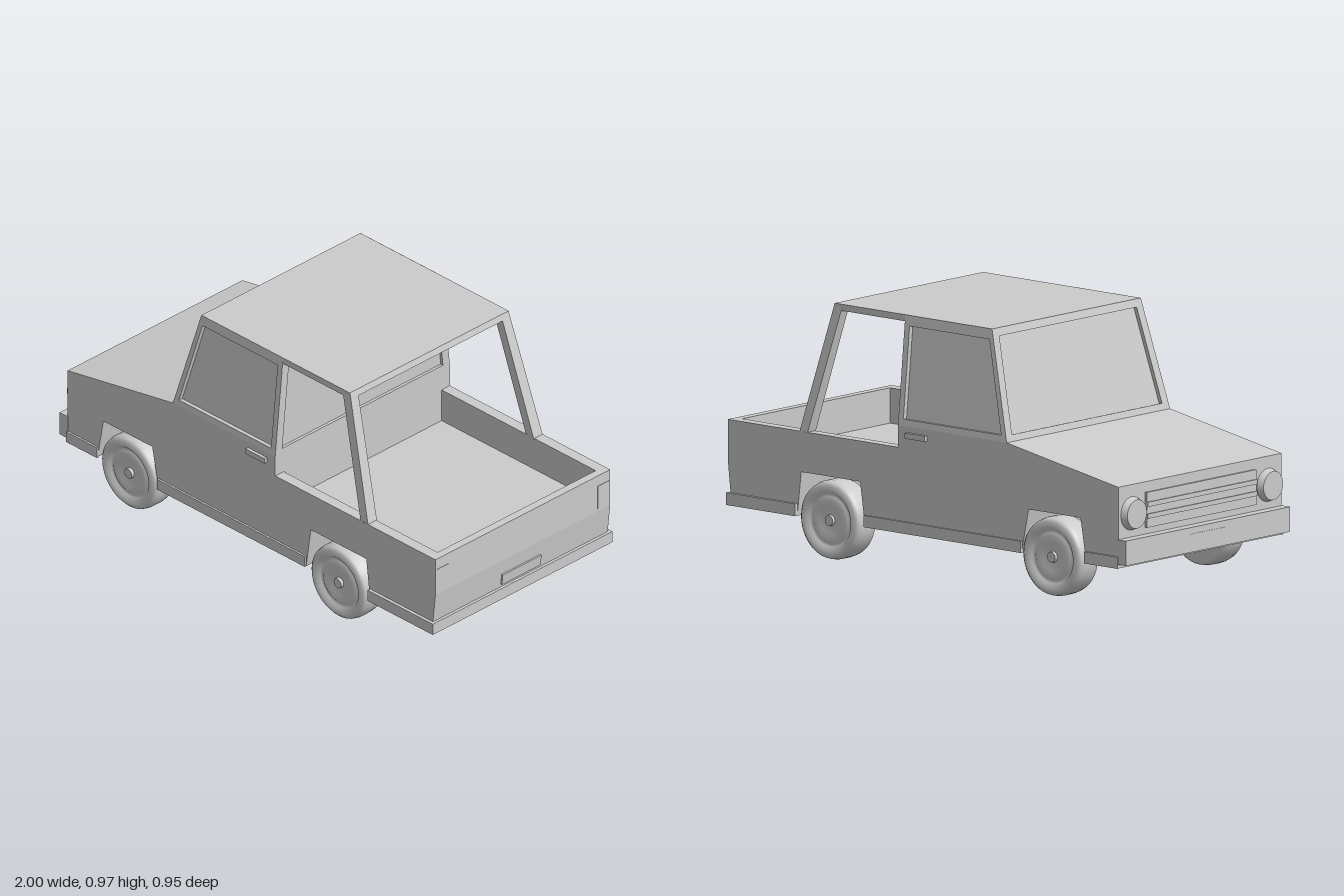
import * as THREE from 'three';

const mat = new THREE.MeshStandardMaterial({ color: 0xcccccc });
const flat = new THREE.MeshStandardMaterial({ color: 0xcccccc, flatShading: true, side: THREE.DoubleSide });

function add(parent, name, geometry, material = mat) {
  const mesh = new THREE.Mesh(geometry, material);
  mesh.name = name;
  parent.add(mesh);
  return mesh;
}

// Box given by its minimum and maximum on each axis
function box(parent, name, x0, x1, y0, y1, z0, z1) {
  const mesh = add(parent, name, new THREE.BoxGeometry(x1 - x0, y1 - y0, z1 - z0));
  mesh.position.set((x0 + x1) / 2, (y0 + y1) / 2, (z0 + z1) / 2);
  return mesh;
}

// Side profile extruded between two z values
function slab(parent, name, points, z0, z1) {
  const shape = new THREE.Shape(points.map(([x, y]) => new THREE.Vector2(x, y)));
  const geometry = new THREE.ExtrudeGeometry(shape, { depth: z1 - z0, bevelEnabled: false });
  geometry.translate(0, 0, z0);
  return add(parent, name, geometry);
}

function quads(list) {
  const pos = [];
  for (const [a, b, c, d] of list) for (const p of [a, b, c, a, c, d]) pos.push(...p);
  const geometry = new THREE.BufferGeometry();
  geometry.setAttribute('position', new THREE.Float32BufferAttribute(pos, 3));
  geometry.computeVertexNormals();
  return geometry;
}

// Framed window: outer and inner corners run counter-clockwise from outside
function windowPanel(parent, name, outer, inner, depth) {
  const v = inner.map((p) => new THREE.Vector3(...p));
  const normal = v[1].clone().sub(v[0]).cross(v[3].clone().sub(v[0])).normalize();
  const glass = v.map((p) => p.addScaledVector(normal, -depth).toArray());
  const frame = [];
  for (let i = 0; i < 4; i++) {
    const j = (i + 1) % 4;
    frame.push([outer[i], outer[j], inner[j], inner[i]], [inner[i], inner[j], glass[j], glass[i]]);
  }
  add(parent, name + 'Frame', quads(frame), flat);
  add(parent, name + 'Glass', quads([glass]), flat);
}

const W = 0.462;
const cabZ = (y) => W - Math.max(0, y - 0.56) * 0.1;

function addCab(car) {
  // Side windows
  const outer = [[-0.4, 0.56], [0.145, 0.56], [0.145, 0.975], [-0.29, 0.975]];
  const inner = [[-0.37, 0.585], [0.12, 0.585], [0.12, 0.935], [-0.28, 0.935]];
  for (const s of [1, -1]) {
    const place = (pts) => {
      const out = pts.map(([x, y]) => [x, y, s * cabZ(y)]);
      return s > 0 ? out : out.reverse();
    };
    windowPanel(car, s > 0 ? 'leftWindow' : 'rightWindow', place(outer), place(inner), 0.018);
  }
  // Windshield
  const slope = (y, inset) => [-0.4 + (y - 0.56) * 0.265, y, cabZ(y) - inset];
  const mirrored = (lo, hi) => [[lo[0], lo[1], -lo[2]], lo, hi, [hi[0], hi[1], -hi[2]]];
  windowPanel(car, 'windshield', mirrored(slope(0.56, 0), slope(0.975, 0)),
    mirrored(slope(0.585, 0.035), slope(0.945, 0.035)), 0.015);
  // Rear wall of the cab
  const back = (y, inset) => [0.145, y, cabZ(y) - inset];
  windowPanel(car, 'rearWindow', mirrored(back(0.56, 0), back(0.975, 0)).reverse(),
    mirrored(back(0.58, 0.035), back(0.93, 0.035)).reverse(), 0.012);

  // Roof reaching back to the rear pillars
  slab(car, 'roof', [[-0.297, 0.95], [0.507, 0.95], [0.5, 0.975], [-0.29, 0.975]], -0.42, 0.42);

  // Raked rear pillars
  for (const s of [1, -1]) {
    const ring = (x0, x1, y, z0, z1) => [[x0, y, s * z0], [x1, y, s * z0], [x1, y, s * z1], [x0, y, s * z1]];
    const a = ring(0.6, 0.64, 0.47, 0.415, W);
    const b = ring(0.462, 0.503, 0.965, 0.38, 0.42);
    const faces = a.map((p, i) => {
      const j = (i + 1) % 4;
      return s > 0 ? [p, b[i], b[j], a[j]] : [p, a[j], b[j], b[i]];
    });
    add(car, s > 0 ? 'leftRearPillar' : 'rightRearPillar', quads(faces), flat);
  }
}

function addWheels(car) {
  // Tyre and dished rim, turned about the axle
  const profile = [[0, -0.055], [0.135, -0.055], [0.147, -0.045], [0.151, -0.02], [0.151, 0.025],
    [0.146, 0.045], [0.135, 0.055], [0.112, 0.055], [0.102, 0.043], [0.09, 0.043],
    [0.08, 0.05], [0.055, 0.046], [0.025, 0.042], [0, 0.042]];
  const wheelGeo = new THREE.LatheGeometry(profile.map(([r, y]) => new THREE.Vector2(r, y)), 40);
  wheelGeo.rotateX(Math.PI / 2);
  const hubGeo = new THREE.CylinderGeometry(0.02, 0.022, 0.014, 16);
  hubGeo.rotateX(Math.PI / 2);
  for (const x of [-0.63, 0.485]) {
    for (const s of [1, -1]) {
      const wheel = new THREE.Group();
      wheel.name = (x < 0 ? 'front' : 'rear') + (s > 0 ? 'Left' : 'Right') + 'Wheel';
      add(wheel, 'tyreAndRim', wheelGeo);
      add(wheel, 'hubCap', hubGeo).position.z = 0.046;
      wheel.position.set(x, 0.153, s * 0.417);
      if (s < 0) wheel.rotation.y = Math.PI;
      car.add(wheel);
    }
    const axle = add(car, 'axle', new THREE.CylinderGeometry(0.022, 0.022, 0.76, 16));
    axle.rotation.x = Math.PI / 2;
    axle.position.set(x, 0.153, 0);
  }
}

export function createModel() {
  const car = new THREE.Group();
  car.name = 'pickupTruck';

  // Hood, doors and bed floor with wheel arches cut through
  slab(car, 'body', [[-0.96, 0.15], [-0.8, 0.15], [-0.77, 0.32], [-0.51, 0.32], [-0.475, 0.15],
    [0.31, 0.15], [0.335, 0.32], [0.63, 0.32], [0.65, 0.15], [0.98, 0.15], [0.985, 0.2],
    [0.998, 0.32], [0.998, 0.34], [0.145, 0.34], [0.145, 0.56], [-0.4, 0.56], [-0.96, 0.46]], -W, W);

  // Bed walls and tailgate
  for (const s of [1, -1]) {
    box(car, 'bedSide', 0.145, 0.998, 0.34, 0.475, s > 0 ? 0.418 : -W, s > 0 ? W : -0.418);
  }
  box(car, 'tailgate', 0.965, 0.998, 0.34, 0.475, -0.418, 0.418);

  addCab(car);
  addWheels(car);

  // Bumpers and plates
  box(car, 'frontBumper', -1, -0.955, 0.165, 0.26, -0.465, 0.465);
  box(car, 'rearBumper', 0.65, 0.997, 0.15, 0.197, -0.475, 0.475);
  const plate = box(car, 'rearPlate', 0.985, 0.995, 0.21, 0.255, -0.1, 0.105);
  plate.rotation.z = -0.11;
  box(car, 'frontPlate', -1.002, -0.99, 0.185, 0.235, -0.1, 0.1);

  // Grille between the headlights
  box(car, 'grille', -0.968, -0.95, 0.285, 0.42, -0.31, 0.31);
  for (const y of [0.32, 0.365]) box(car, 'grilleBar', -0.973, -0.96, y, y + 0.018, -0.31, 0.31);

  for (const s of [1, -1]) {
    const lamp = add(car, 'headlight', new THREE.CylinderGeometry(0.055, 0.065, 0.03, 32));
    lamp.rotation.z = Math.PI / 2;
    lamp.position.set(-0.971, 0.35, s * 0.385);
    // Sills, door handles and tail lamps
    for (const [x0, x1] of [[-0.962, -0.796], [-0.477, 0.31]]) {
      box(car, 'sill', x0, x1, 0.15, 0.195, s * 0.464 - 0.006, s * 0.464 + 0.006);
    }
    box(car, 'doorHandle', 0, 0.1, 0.515, 0.537, s * 0.467 - 0.008, s * 0.467 + 0.008);
    box(car, 'tailLamp', 0.99, 1, 0.33, 0.43, s * 0.425 - 0.03, s * 0.425 + 0.03);
  }
  return car;
}
